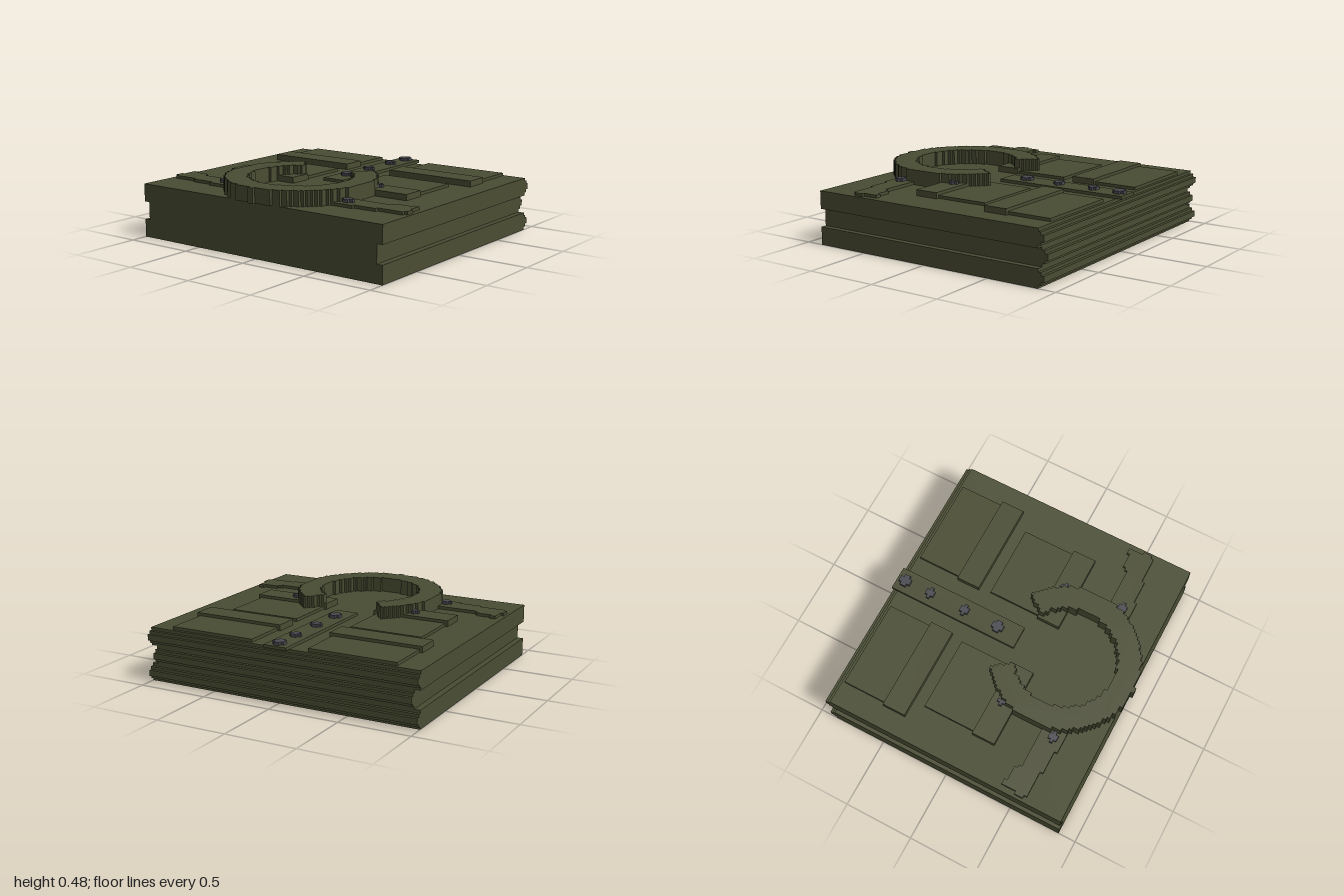
import * as THREE from 'three';

const V = 1 / 48; // size of one block step

export function createModel() {
  const group = new THREE.Group();
  const olive = new THREE.MeshStandardMaterial({ color: 0x4a4d33 });
  olive.name = 'olive';
  const steel = new THREE.MeshStandardMaterial({ color: 0x4a4b52 });
  steel.name = 'steel grey';

  // Box between two corners, in block steps
  function box(name, x0, x1, y0, y1, z0, z1) {
    const geo = new THREE.BoxGeometry((x1 - x0) * V, (y1 - y0) * V, (z1 - z0) * V);
    const mesh = new THREE.Mesh(geo, olive);
    mesh.position.set((x0 + x1) / 2 * V, (y0 + y1) / 2 * V, (z0 + z1) / 2 * V);
    mesh.name = name;
    group.add(mesh);
  }

  // Upright slab from an outline of [x, z] points, in block steps
  function slab(name, points, y0, y1, material = olive) {
    const shape = new THREE.Shape(points.map(([x, z]) => new THREE.Vector2(x * V, -z * V)));
    const geo = new THREE.ExtrudeGeometry(shape, { depth: (y1 - y0) * V, bevelEnabled: false });
    geo.rotateX(-Math.PI / 2);
    const mesh = new THREE.Mesh(geo, material);
    mesh.position.y = y0 * V;
    mesh.name = name;
    group.add(mesh);
  }

  // Plus-shaped bolt head, one step high
  function bolt(x0, x1, z0, z1, y) {
    slab('bolt', [
      [x0 + 1, z0], [x1 - 1, z0], [x1 - 1, z0 + 1], [x1, z0 + 1],
      [x1, z1 - 1], [x1 - 1, z1 - 1], [x1 - 1, z1], [x0 + 1, z1],
      [x0 + 1, z1 - 1], [x0, z1 - 1], [x0, z0 + 1], [x0 + 1, z0 + 1],
    ], y, y + 1, steel);
  }

  // Three body tiers, the middle one recessed at the sides, each with a stepped back ridge
  for (let i = 0; i < 3; i++) {
    const w = i === 1 ? 46 : 48;
    const y = i * 6;
    box('bodyTier', -w, w, y, y + 6, -42, 42);
    box('backRidge', -w, w, y + 1, y + 5, -43, -42);
    box('backRidgeCrest', -w, w, y + 2, y + 4, -44, -43);
  }

  // Centre strap and its bolts
  box('centreStrap', -4, 4, 18, 19, -44, 2);
  for (const [z0, z1] of [[-43, -39], [-33, -30], [-20, -17], [-8, -4]]) bolt(-2, 2, z0, z1, 19);

  // Mirrored plates, side arms and bolts
  const arm = [
    [22, 23], [38, 23], [38, 22], [39, 22], [39, 21], [44, 21], [44, 20], [46, 20], [46, 25],
    [47, 25], [47, 28], [46, 28], [46, 29], [37, 29], [37, 30], [29, 30], [29, 31], [22, 31],
  ];
  for (const s of [1, -1]) {
    const sideBox = (name, a, b, ...rest) =>
      box(name, Math.min(s * a, s * b), Math.max(s * a, s * b), ...rest);
    sideBox('rearPlate', 10, 40, 18, 19, -41, -26);
    sideBox('rearPlateLip', 9, 41, 18, 20, -26, -18);
    sideBox('frontPlate', 10, 35, 18, 19, -14, 4);
    sideBox('frontPlateLip', 9, 36, 18, 20, 4, 12);
    slab('sideArm', arm.map(([x, z]) => [s * x, z]), 18, 19);
    const sideBolt = (a, b, ...rest) => bolt(Math.min(s * a, s * b), Math.max(s * a, s * b), ...rest);
    sideBolt(21, 24, 6, 9, 20);
    sideBolt(23, 27, 26, 29, 19);
  }

  // Open ring with stair-stepped walls, the gap facing the back
  const zc = 19.02, outerR = 24.5, innerR = 17;
  const outer = [], inner = [];
  for (let z = -1; z < 44; z++) {
    const dz = z + 0.5 - zc;
    const o = Math.round(Math.sqrt(Math.max(0, outerR ** 2 - dz * dz)));
    const hole = Math.sqrt(Math.max(0, innerR ** 2 - dz * dz));
    const n = Math.round(Math.max(hole, -dz * 0.71));
    outer.push([o, z], [o, z + 1]);
    if (n > 0) inner.push([n, z], [n, z + 1]);
  }
  const mirror = (pts) => pts.map(([x, z]) => [-x, z]);
  slab('openRing', [
    ...outer, ...mirror(outer).reverse(), ...mirror(inner), ...inner.slice().reverse(),
  ], 18, 23);

  return group;
}
